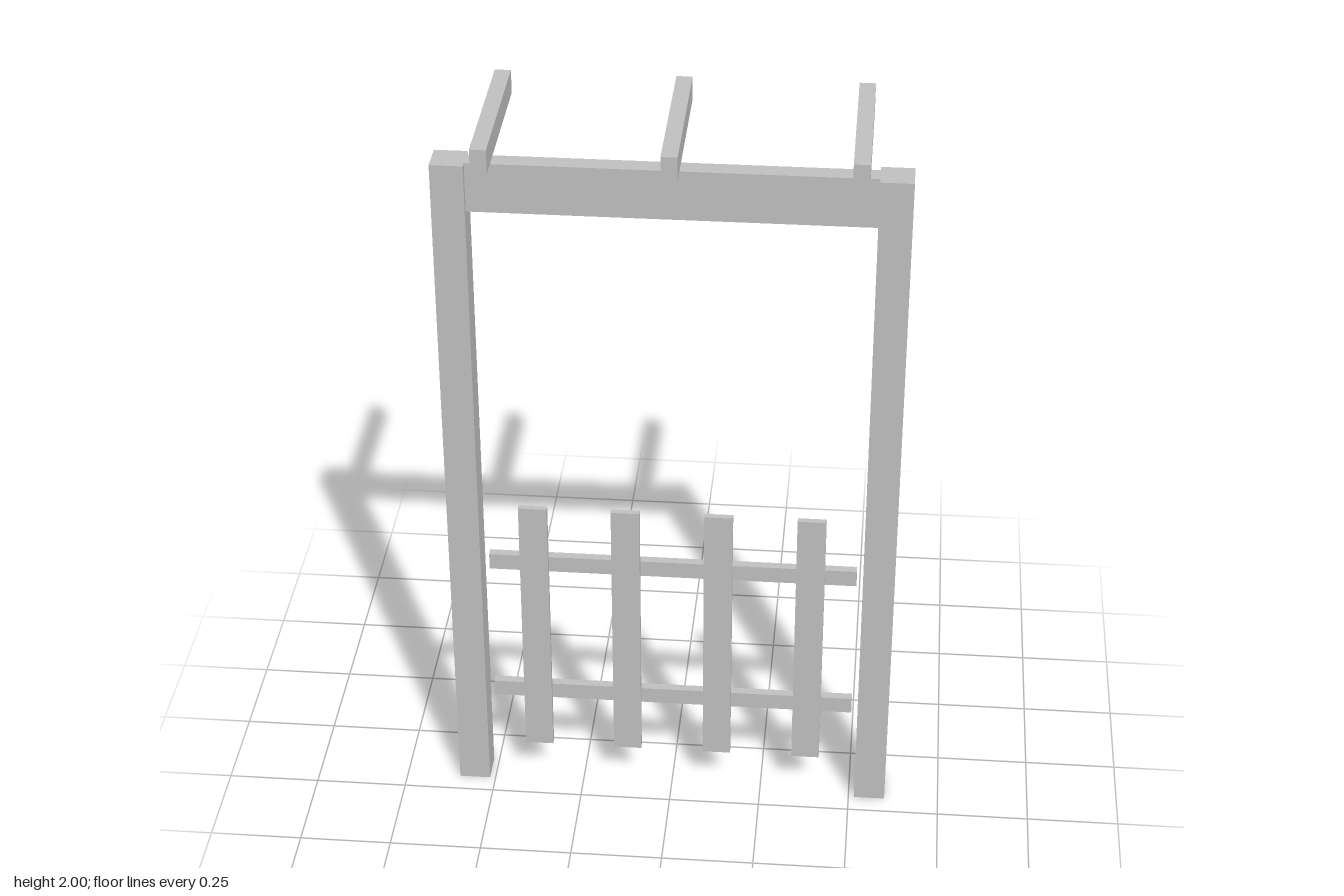
import * as THREE from 'three';

export function createModel() {
  const model = new THREE.Group();
  model.name = 'gardenArch';

  const timber = new THREE.MeshStandardMaterial({ color: 0xbfbfbf });
  timber.name = 'timber grey';

  // Square-edged timber: width, height, y of its base, and its z range
  function addTimber(name, x, width, y0, y1, z0, z1) {
    const mesh = new THREE.Mesh(new THREE.BoxGeometry(width, y1 - y0, z1 - z0), timber);
    mesh.position.set(x, (y0 + y1) / 2, (z0 + z1) / 2);
    mesh.name = name;
    model.add(mesh);
  }

  // Posts and the beam between them
  addTimber('leftPost', 0.558, 0.085, 0, 1.935, 0.11, 0.195);
  addTimber('rightPost', -0.558, 0.085, 0, 1.935, 0.11, 0.195);
  addTimber('beam', 0, 1.031, 1.8, 1.935, 0.128, 0.177);

  // Rafters resting on the beam and reaching backwards
  for (const x of [-0.471, 0, 0.471]) addTimber('rafter', x, 0.042, 1.935, 2, -0.231, 0.231);

  // Fence panel: two rails behind four pickets
  for (const y of [0.265, 0.694]) addTimber('rail', 0, 0.996, y, y + 0.047, 0.128, 0.152);
  for (const x of [-0.374, -0.125, 0.125, 0.374]) addTimber('picket', x, 0.077, 0.114, 0.906, 0.152, 0.169);

  return model;
}
